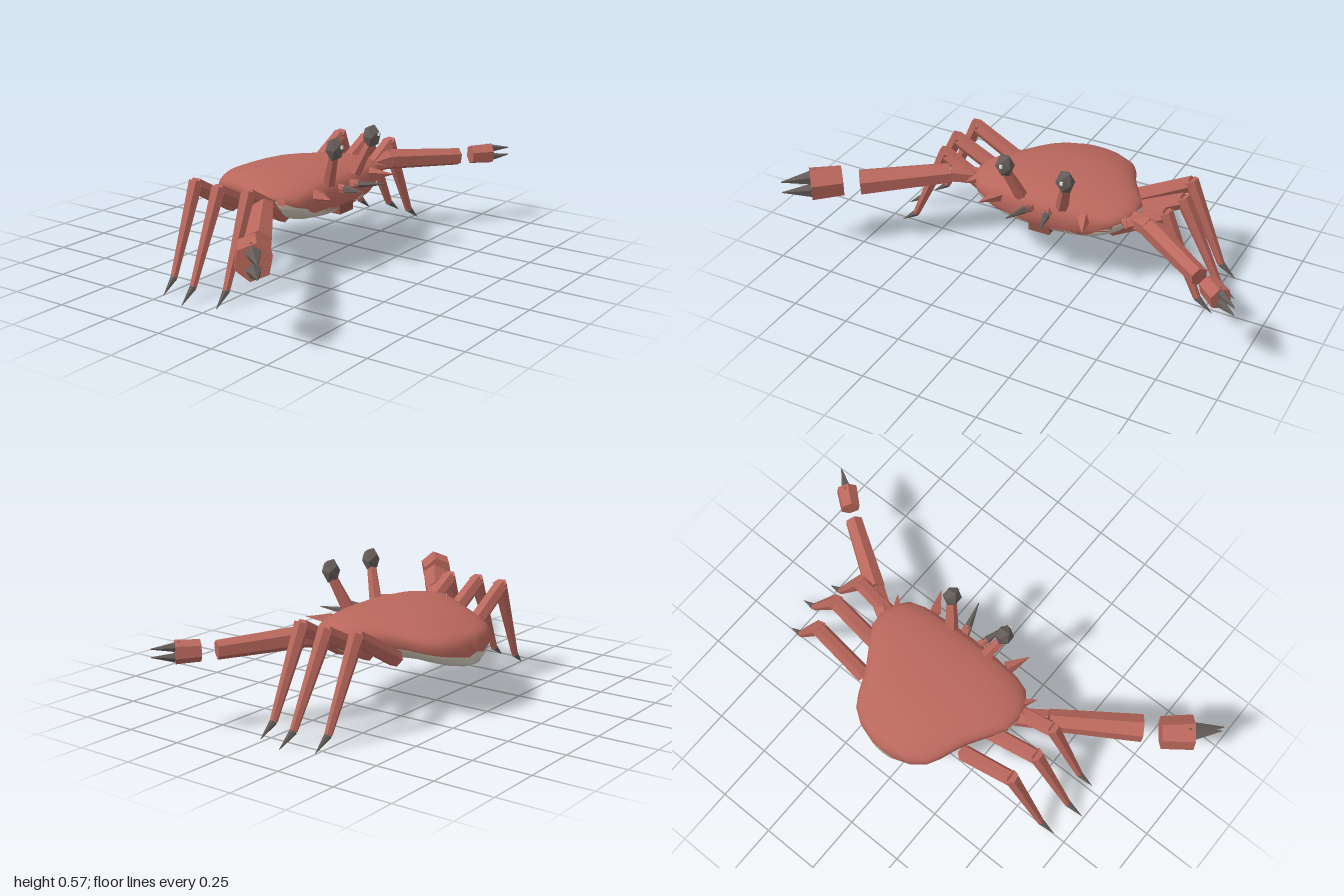
import * as THREE from 'three';

const mat = (name, color) => {
  const m = new THREE.MeshStandardMaterial({ color });
  m.name = name;
  return m;
};
const V = (x, y, z) => new THREE.Vector3(x, y, z);
const MID = 0.047; // the body sits slightly off centre, as one claw is larger

// Faceted version of any geometry
function faceted(geometry) {
  const g = geometry.index ? geometry.toNonIndexed() : geometry;
  g.computeVertexNormals();
  return g;
}

function addMesh(parent, name, geometry, material) {
  const m = new THREE.Mesh(geometry, material);
  m.name = name;
  parent.add(m);
  return m;
}

// Faceted tapered prism running from a to b
function limb(parent, name, a, b, r0, r1, material, sides = 6) {
  const dir = b.clone().sub(a);
  const g = faceted(new THREE.CylinderGeometry(r1, r0, dir.length(), sides));
  const m = addMesh(parent, name, g, material);
  m.position.copy(a).addScaledVector(dir, 0.5);
  m.quaternion.setFromUnitVectors(V(0, 1, 0), dir.normalize());
  return m;
}

// Shell lofted along z; the underside faces take the belly colour
function buildBody(materials) {
  const N = 44;
  // z, half width, top, widest height, bottom
  const sections = [
    [0.118, 0.14, 0.345, 0.31, 0.262], [0.102, 0.26, 0.37, 0.32, 0.243],
    [0.08, 0.315, 0.386, 0.33, 0.229], [0.03, 0.352, 0.4, 0.337, 0.212],
    [-0.03, 0.372, 0.408, 0.34, 0.207], [-0.1, 0.366, 0.409, 0.34, 0.208],
    [-0.15, 0.335, 0.408, 0.338, 0.21], [-0.2, 0.303, 0.404, 0.335, 0.213],
    [-0.25, 0.272, 0.399, 0.33, 0.216], [-0.3, 0.247, 0.39, 0.322, 0.216],
    [-0.36, 0.222, 0.372, 0.31, 0.208], [-0.41, 0.192, 0.353, 0.3, 0.203],
    [-0.45, 0.135, 0.337, 0.285, 0.203], [-0.473, 0.055, 0.318, 0.262, 0.211],
  ];
  const pos = [];
  for (const [z, w, top, mid, bottom] of sections) {
    for (let j = 0; j < N; j++) {
      const a = (j / N) * Math.PI * 2, c = Math.cos(a), s = Math.sin(a);
      const x = Math.sign(c) * Math.pow(Math.abs(c), 0.85) * w;
      const y = s > 0 ? mid + (top - mid) * Math.pow(s, 0.85) : mid + (mid - bottom) * s;
      pos.push(MID + x, y, z);
    }
  }
  const last = (sections.length - 1) * N, front = sections.length * N, back = front + 1;
  pos.push(MID, 0.305, 0.122, MID, 0.262, -0.477);

  const shell = [], belly = [];
  const tri = (...t) => {
    const mean = (k) => t.reduce((sum, i) => sum + pos[i * 3 + k], 0) / 3;
    const x = mean(0) - MID, border = 0.25 + 0.72 * x * x;
    (mean(1) < border ? belly : shell).push(...t);
  };
  for (let j = 0; j < N; j++) {
    const k = (j + 1) % N;
    for (let i = 0; i < last; i += N) {
      tri(i + j, i + N + j, i + k);
      tri(i + N + j, i + N + k, i + k);
    }
    tri(front, j, k);
    tri(back, last + k, last + j);
  }
  const g = new THREE.BufferGeometry();
  g.setAttribute('position', new THREE.Float32BufferAttribute(pos, 3));
  g.setIndex([...shell, ...belly]);
  g.addGroup(0, shell.length, 0);
  g.addGroup(shell.length, belly.length, 1);
  g.computeVertexNormals();
  return new THREE.Mesh(g, materials);
}

export function createModel() {
  const red = mat('shell red', 0xb9675c);
  const cream = mat('belly cream', 0xcfc8b8);
  const dark = mat('claw grey', 0x645c58);
  const mouthRed = mat('mouth brown', 0x8f5148);
  const white = mat('eye glint', 0xe8e6e0);

  const model = new THREE.Group();
  model.name = 'crab';
  const body = buildBody([red, cream]);
  body.name = 'body';
  model.add(body);

  // Mouth
  const mouth = addMesh(model, 'mouth', new THREE.BoxGeometry(0.095, 0.042, 0.04), mouthRed);
  mouth.position.set(MID, 0.248, 0.1);

  for (const s of [-1, 1]) {
    const side = s > 0 ? 'left' : 'right';
    const P = (x, y, z) => V(MID + s * x, y, z);

    // Walking legs, the middle one reaching a little further
    [0, -0.133, -0.267].forEach((z, i) => {
      const leg = new THREE.Group();
      leg.name = `${side}Leg${i + 1}`;
      model.add(leg);
      const out = i === 1 ? 0.04 : 0;
      const knee = P(0.515 + out * 0.5, 0.4, z);
      const ankle = P(0.67 + out, 0.056, z + 0.014);
      limb(leg, 'upperLeg', P(0.27, 0.262, z - 0.005), knee, 0.036, 0.033, red);
      limb(leg, 'lowerLeg', P(0.505 + out * 0.5, 0.413, z), ankle, 0.033, 0.016, red);
      limb(leg, 'legTip', ankle, P(0.74 + out * 1.2, 0.003, z + 0.02), 0.016, 0.001, dark);
    });

    // Eye stalk, eye and glint
    const eye = new THREE.Group();
    eye.name = `${side}Eye`;
    model.add(eye);
    limb(eye, 'eyeStalk', P(0.095, 0.37, 0.097), P(0.134, 0.5, 0.146), 0.028, 0.021, red);
    const ball = addMesh(eye, 'eyeball', faceted(new THREE.IcosahedronGeometry(0.04, 0)), dark);
    ball.scale.y = 1.35;
    ball.position.copy(P(0.136, 0.53, 0.152));
    const glint = addMesh(eye, 'eyeGlint', new THREE.BoxGeometry(0.012, 0.014, 0.008), white);
    glint.position.copy(P(0.136, 0.543, 0.188));

    // Front spines and antennae
    limb(model, `${side}FrontSpine`, P(0.195, 0.345, 0.105), P(0.238, 0.35, 0.202), 0.03, 0.001, red, 4);
    limb(model, `${side}SideSpine`, P(0.325, 0.34, 0.01), P(0.375, 0.335, 0.078), 0.028, 0.001, red, 4);
    limb(model, `${side}AntennaBase`, P(0.035, 0.335, 0.1), P(0.05, 0.342, 0.15), 0.022, 0.018, red);
    limb(model, `${side}Antenna`, P(0.045, 0.34, 0.135), P(0.079, 0.352, 0.256), 0.019, 0.002, dark, 5);
  }

  // Claw arms: the right claw is the larger one
  const arms = [
    { name: 'rightClaw', shoulder: V(-0.27, 0.31, -0.05), elbow: V(-0.42, 0.338, 0.04),
      wrist: V(-0.735, 0.32, 0.258), heel: V(-0.805, 0.325, 0.288), palm: V(-0.908, 0.325, 0.374),
      tip: V(-0.995, 0.33, 0.46), arm: 0.058, hand: 0.073 },
    { name: 'leftClaw', shoulder: V(0.364, 0.31, -0.05), elbow: V(0.51, 0.342, 0.035),
      wrist: V(0.795, 0.323, 0.225), heel: V(0.845, 0.327, 0.26), palm: V(0.92, 0.327, 0.322),
      tip: V(0.994, 0.33, 0.375), arm: 0.039, hand: 0.047 },
  ];
  for (const a of arms) {
    const claw = new THREE.Group();
    claw.name = a.name;
    model.add(claw);
    limb(claw, 'upperArm', a.shoulder, a.elbow, 0.036, 0.043, red);
    limb(claw, 'forearm', a.elbow, a.wrist, 0.046, a.arm, red);
    limb(claw, 'hand', a.heel, a.palm, a.hand * 0.92, a.hand, red);
    // Upper and lower fingers
    for (const u of [-1, 1]) {
      const root = a.heel.clone().lerp(a.palm, 0.8);
      root.y += u * a.hand * 0.45;
      const end = a.tip.clone();
      end.y += u * a.hand * 0.35;
      limb(claw, u > 0 ? 'upperFinger' : 'lowerFinger', root, end, a.hand * 0.5, 0.002, dark, 5);
    }
  }
  return model;
}
